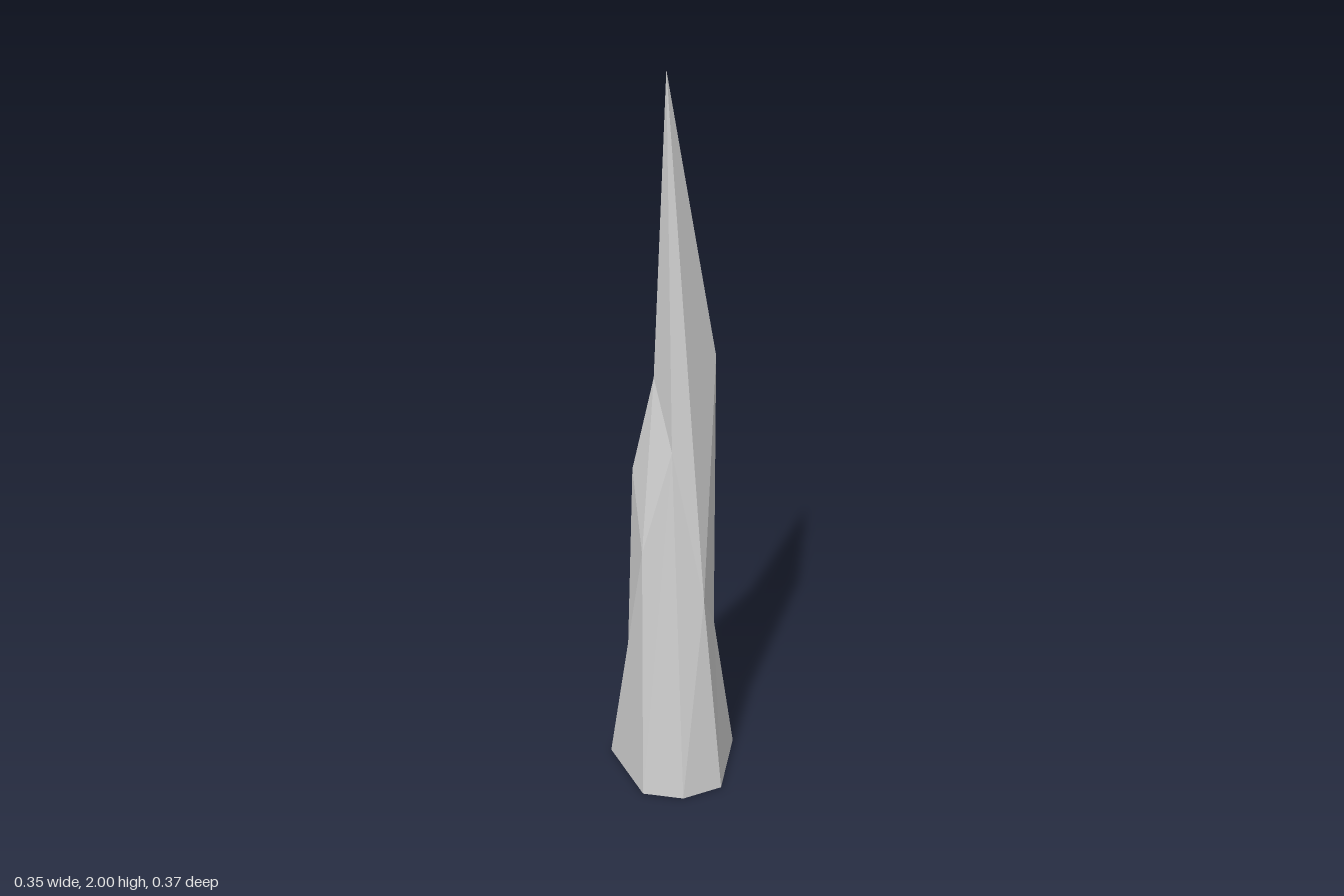
import * as THREE from 'three';

// Ridge corners of the spike: a to h run round the base, digits climb each ridge
const corners = {
  a: [-0.175, 0, 0], a1: [-0.12, 0.34, 0], a2: [-0.1, 0.94, 0], a3: [-0.04, 1.21, 0],
  b: [-0.14, 0, -0.115],
  c: [-0.04, 0, -0.185], c1: [-0.053, 0.41, -0.148], c2: [0, 1.26, -0.098],
  d: [0.077, 0, -0.185], d1: [0.042, 0.66, -0.148], d2: [0.073, 1.14, -0.112],
  e: [0.175, 0, -0.115], e1: [0.115, 0.43, -0.092], e2: [0.115, 1.26, -0.06],
  f: [0.175, 0, 0.113], f1: [0.115, 0.6, 0.09],
  g: [0.077, 0, 0.183], g1: [0.022, 1.03, 0.07],
  h: [-0.04, 0, 0.183], h1: [-0.053, 0.74, 0.105],
  tip: [-0.006, 2, -0.001],
};

// Chipped facets, counter-clockwise from outside, fanned from their first corner
const facets = [
  'b a a1', 'c b a1 c1', 'c1 a1 a2 a3 c2', 'c2 a3 tip', // left back
  'd c c1 d1', 'd1 c1 c2 d2', 'd2 c2 tip', // back
  'e d d1 e1', 'e1 d1 d2 e2', 'e2 d2 tip', // right back
  'f e e1 f1', 'f1 e1 e2', 'f1 e2 tip', // right
  'g f f1 g1', 'g1 f1 tip', 'h g g1 h1', // front
  'a h h1', 'h1 a2 a1 a', 'a3 a2 h1 g1 tip', // left front
];

export function createModel() {
  const positions = [];
  for (const facet of facets) {
    const loop = facet.split(' ').map((name) => corners[name]);
    for (let i = 1; i < loop.length - 1; i++) {
      positions.push(...loop[0], ...loop[i], ...loop[i + 1]);
    }
  }
  const geometry = new THREE.BufferGeometry();
  geometry.setAttribute('position', new THREE.Float32BufferAttribute(positions, 3));
  geometry.computeVertexNormals();

  // Hollow rock shell, open underneath
  const spike = new THREE.Mesh(geometry, new THREE.MeshStandardMaterial({
    color: 0xcccccc, flatShading: true, side: THREE.DoubleSide,
  }));
  spike.name = 'rockSpike';

  const group = new THREE.Group();
  group.name = 'stalagmite';
  group.add(spike);
  return group;
}
